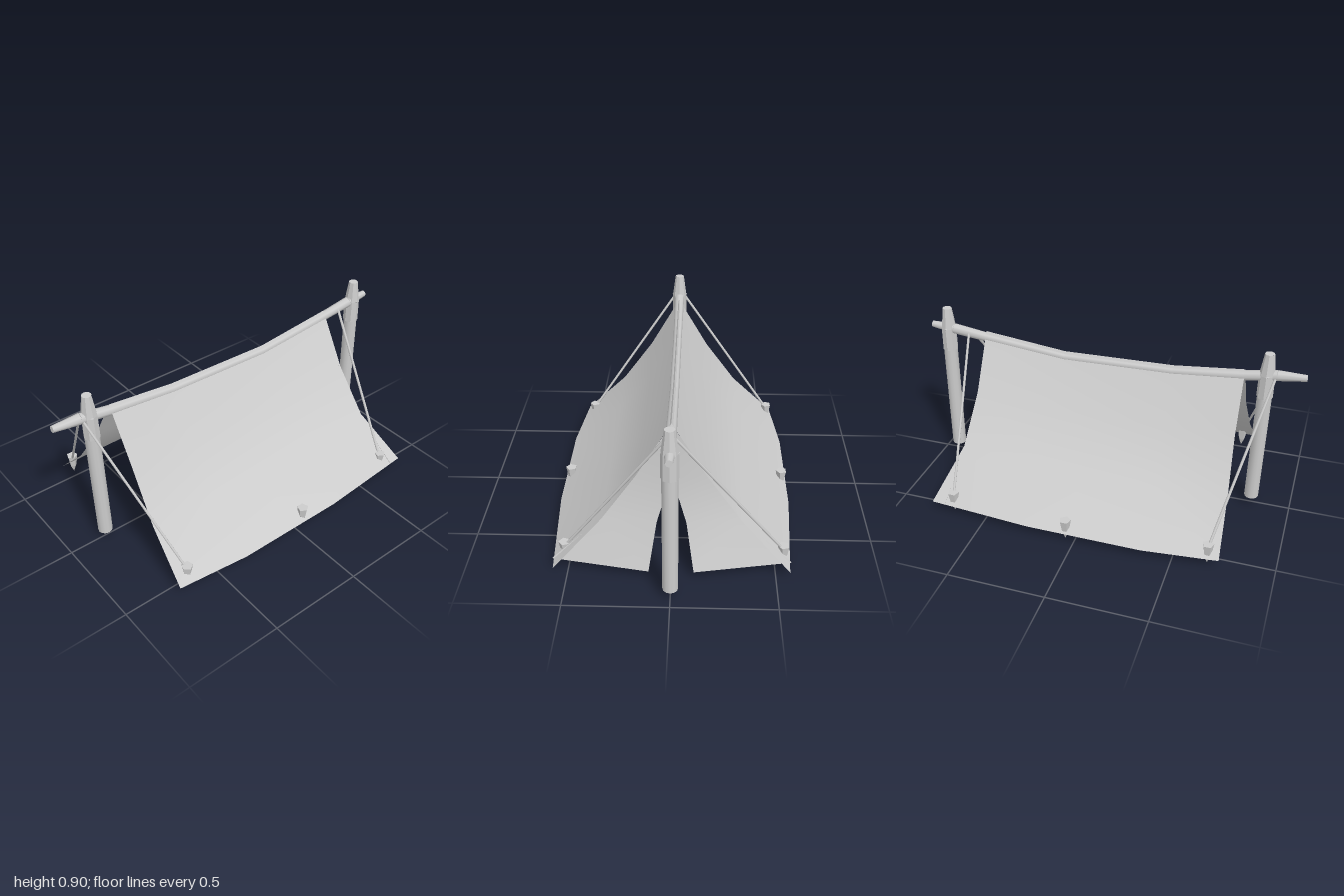
import * as THREE from 'three';

const grey = new THREE.MeshStandardMaterial({ color: 0xcccccc });
const flat = new THREE.MeshStandardMaterial({ color: 0xcccccc, flatShading: true });
const cloth = new THREE.MeshStandardMaterial({ color: 0xcccccc, side: THREE.DoubleSide });

const V = (x, y, z) => new THREE.Vector3(x, y, z);

// Sheet through rows of equally many points, mirrored across z by side (+1 / -1)
function sheet(name, rows, side) {
  const n = rows[0].length;
  const pos = [], index = [];
  rows.forEach(row => row.forEach(([x, y, z]) => pos.push(x, y, z * side)));
  for (let r = 0; r < rows.length - 1; r++) {
    for (let c = 0; c < n - 1; c++) {
      const a = r * n + c, b = a + 1, d = a + n, e = d + 1;
      if (side > 0) index.push(a, d, b, b, d, e);
      else index.push(a, b, d, b, e, d);
    }
  }
  const g = new THREE.BufferGeometry();
  g.setAttribute('position', new THREE.Float32BufferAttribute(pos, 3));
  g.setIndex(index);
  g.computeVertexNormals();
  const m = new THREE.Mesh(g, cloth);
  m.name = name;
  return m;
}

// Tapered round bar between two points
function bar(name, a, b, ra, rb, sides, mat, open = false) {
  const dir = b.clone().sub(a);
  const m = new THREE.Mesh(new THREE.CylinderGeometry(rb, ra, dir.length(), sides, 1, open), mat);
  m.position.copy(a).add(b).multiplyScalar(0.5);
  m.quaternion.setFromUnitVectors(V(0, 1, 0), dir.normalize());
  m.name = name;
  return m;
}

export function createModel() {
  const tent = new THREE.Group();
  tent.name = 'ridgeTent';

  // Two sagging roof sheets, rows from ridge to hem
  const roof = [
    [[-0.70, 0.805, 0], [-0.34, 0.768, 0], [0.24, 0.755, 0], [0.685, 0.805, 0]],
    [[-0.70, 0.52, 0.165], [-0.34, 0.495, 0.155], [0.24, 0.49, 0.155], [0.685, 0.52, 0.165]],
    [[-0.715, 0.28, 0.335], [-0.345, 0.27, 0.335], [0.245, 0.27, 0.335], [0.705, 0.28, 0.335]],
    [[-0.73, 0.055, 0.565], [-0.35, 0.055, 0.605], [0.25, 0.055, 0.605], [0.80, 0.055, 0.565]],
  ];
  // Door flap, joined above and parted below
  const flap = [
    [[0.68, 0.79, 0], [0.68, 0.79, 0.005]],
    [[0.68, 0.50, 0.005], [0.675, 0.52, 0.165]],
    [[0.72, 0.28, 0.07], [0.69, 0.28, 0.33]],
    [[0.81, 0.055, 0.107], [0.727, 0.055, 0.58]],
  ];
  for (const s of [1, -1]) {
    tent.add(sheet(s > 0 ? 'frontRoofSheet' : 'backRoofSheet', roof, s));
    tent.add(sheet(s > 0 ? 'frontDoorFlap' : 'backDoorFlap', flap, s));
  }

  // Posts with a thicker, pointed head
  const postProfile = [[0, 0], [0.037, 0], [0.037, 0.615], [0.041, 0.615], [0.04, 0.74], [0.024, 0.855], [0, 0.855]]
    .map(([r, y]) => new THREE.Vector2(r, y));
  const postParts = [postProfile.slice(0, 2), postProfile.slice(1, 3), postProfile.slice(2, 4),
    postProfile.slice(3, 6), postProfile.slice(5, 7)];
  for (const [x, name] of [[-0.795, 'rightPost'], [0.92, 'leftPost']]) {
    const post = new THREE.Group();
    post.name = name;
    postParts.forEach((p, i) => {
      const m = new THREE.Mesh(new THREE.LatheGeometry(p, i === 3 ? 8 : 12), i === 3 ? flat : grey);
      m.name = 'postSection';
      post.add(m);
    });
    post.position.set(x, 0.055, 0);
    post.rotation.z = 0.0175;
    tent.add(post);
  }

  // Ridge pole, bending under the cloth
  const ridge = [
    [-1, 0.805, 0.017], [-0.86, 0.797, 0.028], [-0.70, 0.772, 0.026], [-0.34, 0.735, 0.023],
    [0.24, 0.722, 0.023], [0.69, 0.77, 0.025], [0.87, 0.793, 0.028], [1, 0.803, 0.017],
  ];
  const ridgePole = new THREE.Group();
  ridgePole.name = 'ridgePole';
  for (let i = 0; i < ridge.length - 1; i++) {
    const [x0, y0, r0] = ridge[i], [x1, y1, r1] = ridge[i + 1];
    ridgePole.add(bar('ridgeSection', V(x0, y0, 0), V(x1, y1, 0), r0, r1, 8, grey));
  }
  tent.add(ridgePole);

  // Lashing knots where the pole crosses the posts
  for (const x of [-0.81, 0.907]) {
    const knot = new THREE.Mesh(new THREE.OctahedronGeometry(0.045), flat);
    knot.scale.set(1.3, 0.8, 0.95);
    knot.position.set(x, 0.797, 0);
    knot.name = 'lashing';
    tent.add(knot);
  }

  // Tent pegs along both hems
  const pegGeo = new THREE.LatheGeometry(
    [[0, 0.01], [0.018, 0.055], [0.03, 0.125], [0, 0.125]].map(([r, y]) => new THREE.Vector2(r, y)), 5);
  const pegs = [[-0.67, -0.54], [0.05, -0.578], [0.685, -0.54], [-0.655, 0.52], [0.05, 0.573], [0.685, 0.52]];
  for (const [x, z] of pegs) {
    const peg = new THREE.Mesh(pegGeo, flat);
    peg.position.set(x, 0, z);
    peg.name = 'peg';
    tent.add(peg);
  }

  // Guy ropes from the ridge pole to the corner pegs
  for (const [x, z] of pegs.filter(p => Math.abs(p[0]) > 0.3)) {
    const top = V(x < 0 ? -0.85 : 0.78, 0.785, Math.sign(z) * 0.02);
    tent.add(bar('guyRope', top, V(x, 0.1, z), 0.007, 0.007, 6, grey));
  }

  return tent;
}
